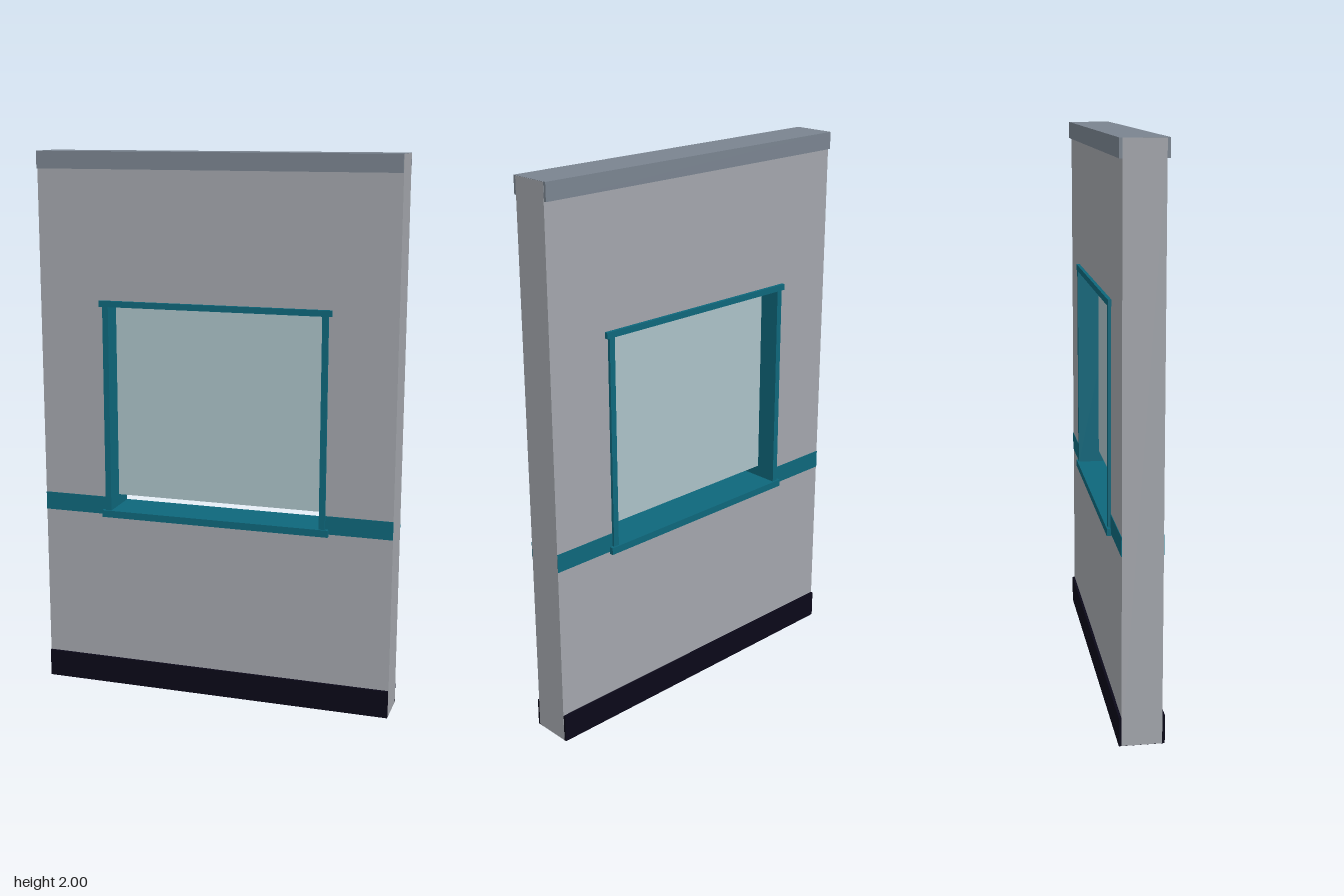
import * as THREE from 'three';

const mat = (name, color, side = THREE.FrontSide) => {
  const m = new THREE.MeshStandardMaterial({ color, side });
  m.name = name;
  return m;
};

export function createModel() {
  const group = new THREE.Group();
  group.name = 'wallWithWindow';

  const grey = mat('wallGrey', 0xa3a6ac);
  const slate = mat('capSlate', 0x7a8490);
  const teal = mat('trimTeal', 0x0e677b);
  const dark = mat('baseDark', 0x0a0818);
  const glass = mat('paleGlass', 0xabc2c8, THREE.DoubleSide);

  // Box given by its x and y ranges and its half depth
  const box = (name, material, x0, x1, y0, y1, halfZ) => {
    const mesh = new THREE.Mesh(new THREE.BoxGeometry(x1 - x0, y1 - y0, halfZ * 2), material);
    mesh.position.set((x0 + x1) / 2, (y0 + y1) / 2, 0);
    mesh.name = name;
    group.add(mesh);
    return mesh;
  };

  // Wall panel with a rectangular window opening
  const rect = (path, x, y0, y1) =>
    path.moveTo(-x, y0).lineTo(x, y0).lineTo(x, y1).lineTo(-x, y1).closePath();
  const wallHalf = 0.069;
  const shape = rect(new THREE.Shape(), 0.662, 0.001, 1.999);
  shape.holes.push(rect(new THREE.Path(), 0.405, 0.675, 1.46));
  const wallGeo = new THREE.ExtrudeGeometry(shape, { depth: wallHalf * 2, bevelEnabled: false });
  wallGeo.translate(0, 0, -wallHalf);
  const wall = new THREE.Mesh(wallGeo, grey);
  wall.name = 'wall';
  group.add(wall);

  // Cap and skirting stand proud of both faces; the wall ends cover their middles
  box('topCap', slate, -0.661, 0.661, 1.938, 2, 0.079);
  box('skirting', dark, -0.661, 0.661, 0, 0.102, 0.078);

  // Window frame, running right through the wall
  box('windowHead', teal, -0.43, 0.43, 1.45, 1.472, 0.081);
  box('windowSill', teal, -0.43, 0.43, 0.662, 0.688, 0.085);
  for (const s of [-1, 1]) {
    const side = s > 0 ? 'left' : 'right';
    const span = (a, b) => (s > 0 ? [a, b] : [-b, -a]);
    box(side + 'Jamb', teal, ...span(0.396, 0.418), 0.687, 1.451, 0.079);

    // Thin painted rail on each wall face
    for (const f of [-1, 1]) {
      const rail = box(side + (f > 0 ? 'Front' : 'Back') + 'Rail', teal, ...span(0.41, 0.662), 0.67, 0.737, 0.001);
      rail.position.z = f * (wallHalf + 0.001);
    }
  }

  // Glass pane, with a gap above the sill
  const pane = new THREE.Mesh(new THREE.PlaneGeometry(0.8, 0.722), glass);
  pane.position.set(0, 1.091, 0);
  pane.name = 'glassPane';
  group.add(pane);

  return group;
}
